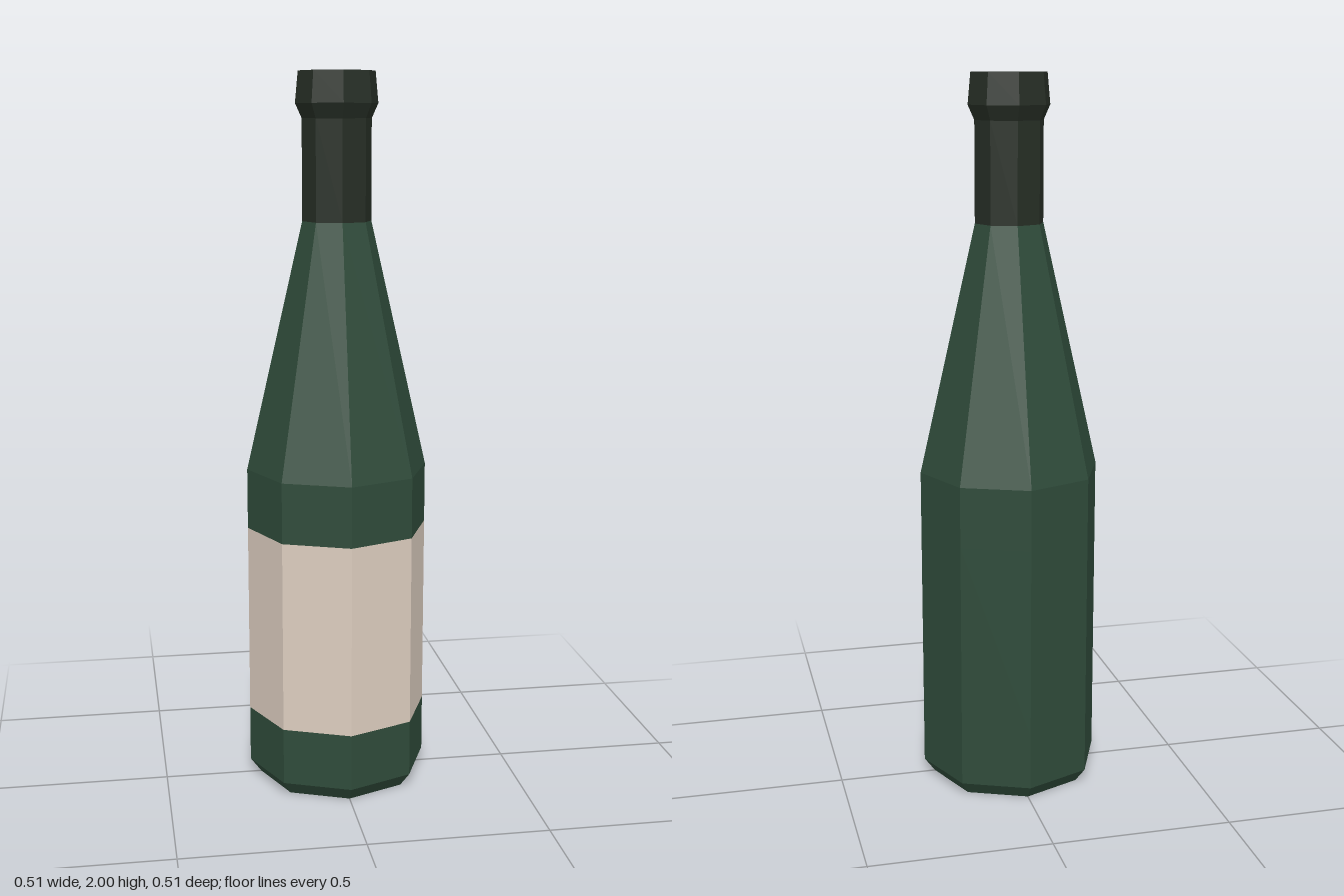
import * as THREE from 'three';

const SIDES = 8;
const flat = (name, color) => new THREE.MeshStandardMaterial({ name, color, flatShading: true });

export function createModel() {
  const glass = flat('greenGlass', 0x2f4b3a);
  const foil = flat('darkFoil', 0x262e25);
  const paper = flat('labelPaper', 0xdccdbf);

  const bottle = new THREE.Group();
  bottle.name = 'bottle';

  // Faceted surface turned from a [radius, height] profile, listed bottom to top
  const turn = (name, material, profile, start = 0, sweep = Math.PI * 2) => {
    const points = profile.map(([r, y]) => new THREE.Vector2(r, y));
    const sides = Math.round(SIDES * sweep / (Math.PI * 2));
    const mesh = new THREE.Mesh(new THREE.LatheGeometry(points, sides, start, sweep), material);
    mesh.name = name;
    bottle.add(mesh);
  };

  const R = 0.255, NECK = 0.096;
  const labelLow = 0.2, labelHigh = 0.74;

  // Closed base with a chamfered foot
  turn('base', glass, [[0, 0], [0.225, 0], [R, 0.04], [R, labelLow]]);

  // Middle band: label on the front half, bare glass on the back half
  const band = [[R, labelLow], [R, labelHigh]];
  turn('label', paper, band, -Math.PI / 2, Math.PI);
  turn('bodyBack', glass, band, Math.PI / 2, Math.PI);

  // Upper body and long tapering shoulder
  turn('shoulder', glass, [[R, labelHigh], [R, 0.91], [NECK, 1.6]]);

  // Foil-wrapped neck and flared, closed lip
  turn('neck', foil, [[NECK, 1.6], [NECK, 1.875]]);
  turn('lip', foil, [[NECK, 1.875], [0.114, 1.915], [0.106, 2], [0, 2]]);

  return bottle;
}
